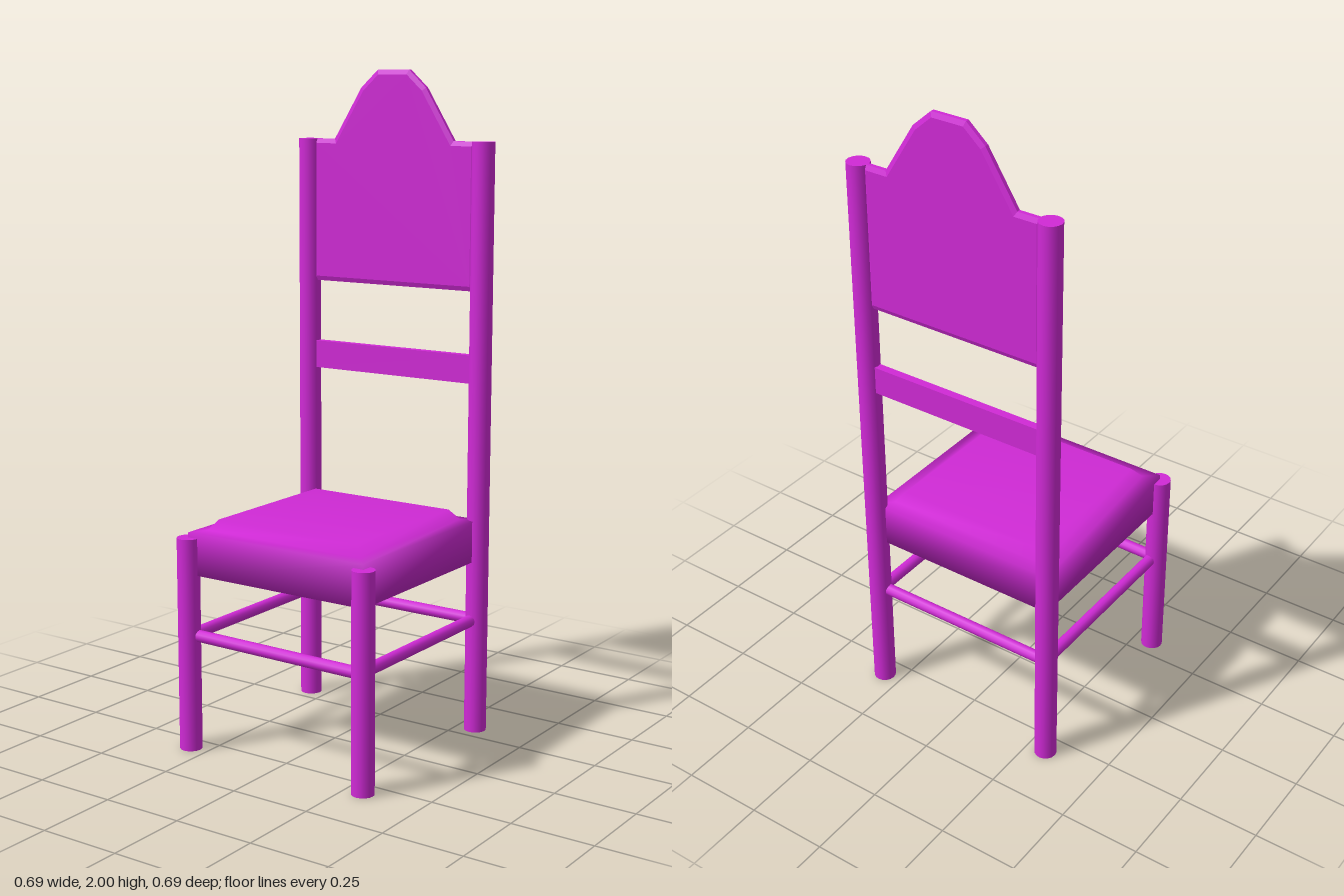
import * as THREE from 'three';

const material = new THREE.MeshStandardMaterial({ color: 0xd02ad6 });
const POST = 0.31; // distance of the posts from the centre lines

function add(group, name, geometry, x = 0, y = 0, z = 0) {
  const mesh = new THREE.Mesh(geometry, material);
  mesh.name = name;
  mesh.position.set(x, y, z);
  group.add(mesh);
  return mesh;
}

// Round bar between two points
function bar(group, name, a, b, radius) {
  const dir = new THREE.Vector3().subVectors(b, a);
  const mesh = add(group, name, new THREE.CylinderGeometry(radius, radius, dir.length(), 12));
  mesh.position.addVectors(a, b).multiplyScalar(0.5);
  mesh.quaternion.setFromUnitVectors(new THREE.Vector3(0, 1, 0), dir.normalize());
}

// Square cushion from stacked rings [half width, height], softly shaded
function cushionGeometry(rings) {
  const positions = [];
  const index = [];
  const corners = [[-1, 1], [1, 1], [1, -1], [-1, -1]];
  for (const [h, y] of rings) {
    for (const [sx, sz] of corners) positions.push(sx * h, y, sz * h);
  }
  for (let r = 0; r < rings.length - 1; r++) {
    for (let i = 0; i < 4; i++) {
      const a = r * 4 + i;
      const b = r * 4 + (i + 1) % 4;
      index.push(a, b, b + 4, a, b + 4, a + 4);
    }
  }
  const t = (rings.length - 1) * 4;
  index.push(t, t + 1, t + 2, t, t + 2, t + 3); // top
  index.push(0, 2, 1, 0, 3, 2); // underside
  const geometry = new THREE.BufferGeometry();
  geometry.setAttribute('position', new THREE.Float32BufferAttribute(positions, 3));
  geometry.setIndex(index);
  geometry.computeVertexNormals();
  return geometry;
}

// Crested back panel with a narrow bevelled border
function panelGeometry() {
  const half = [[0.275, 1.369], [0.275, 1.779], [0.204, 1.779], [0.104, 1.938], [0.05, 1.986]];
  const outline = [...half, ...half.map(([x, y]) => [-x, y]).reverse()];
  const shape = new THREE.Shape(outline.map(([x, y]) => new THREE.Vector2(x, y)));
  const geometry = new THREE.ExtrudeGeometry(shape, {
    depth: 0.012, bevelEnabled: true, bevelThickness: 0.006, bevelSize: 0.014, bevelSegments: 1,
  });
  geometry.translate(0, 0, -0.006);
  return geometry;
}

export function createModel() {
  const chair = new THREE.Group();
  chair.name = 'chair';

  // Legs: short at the front, tall posts at the back
  for (const [side, x] of [['left', POST], ['right', -POST]]) {
    for (const [end, z, h] of [['FrontLeg', POST, 0.65], ['BackPost', -POST, 1.793]]) {
      add(chair, side + end, new THREE.CylinderGeometry(0.034, 0.034, h, 16), x, h / 2, z);
    }
  }

  // Stretchers joining the legs, the front one slightly skewed
  const v = (x, z) => new THREE.Vector3(x, 0.353, z);
  bar(chair, 'frontStretcher', v(-POST, 0.304), v(POST, 0.315), 0.018);
  bar(chair, 'backStretcher', v(-POST, -0.306), v(POST, -0.306), 0.018);
  bar(chair, 'leftStretcher', v(0.304, -POST), v(0.304, POST), 0.018);
  bar(chair, 'rightStretcher', v(-0.304, -POST), v(-0.304, POST), 0.018);

  // Seat with a raised top
  add(chair, 'seat', cushionGeometry([[0.31, 0.538], [0.31, 0.665], [0.27, 0.669], [0.245, 0.7]]));

  // Back rest
  add(chair, 'backSlat', new THREE.BoxGeometry(0.61, 0.085, 0.025), 0, 1.122, -POST);
  add(chair, 'backPanel', panelGeometry(), 0, 0, -POST);

  return chair;
}
